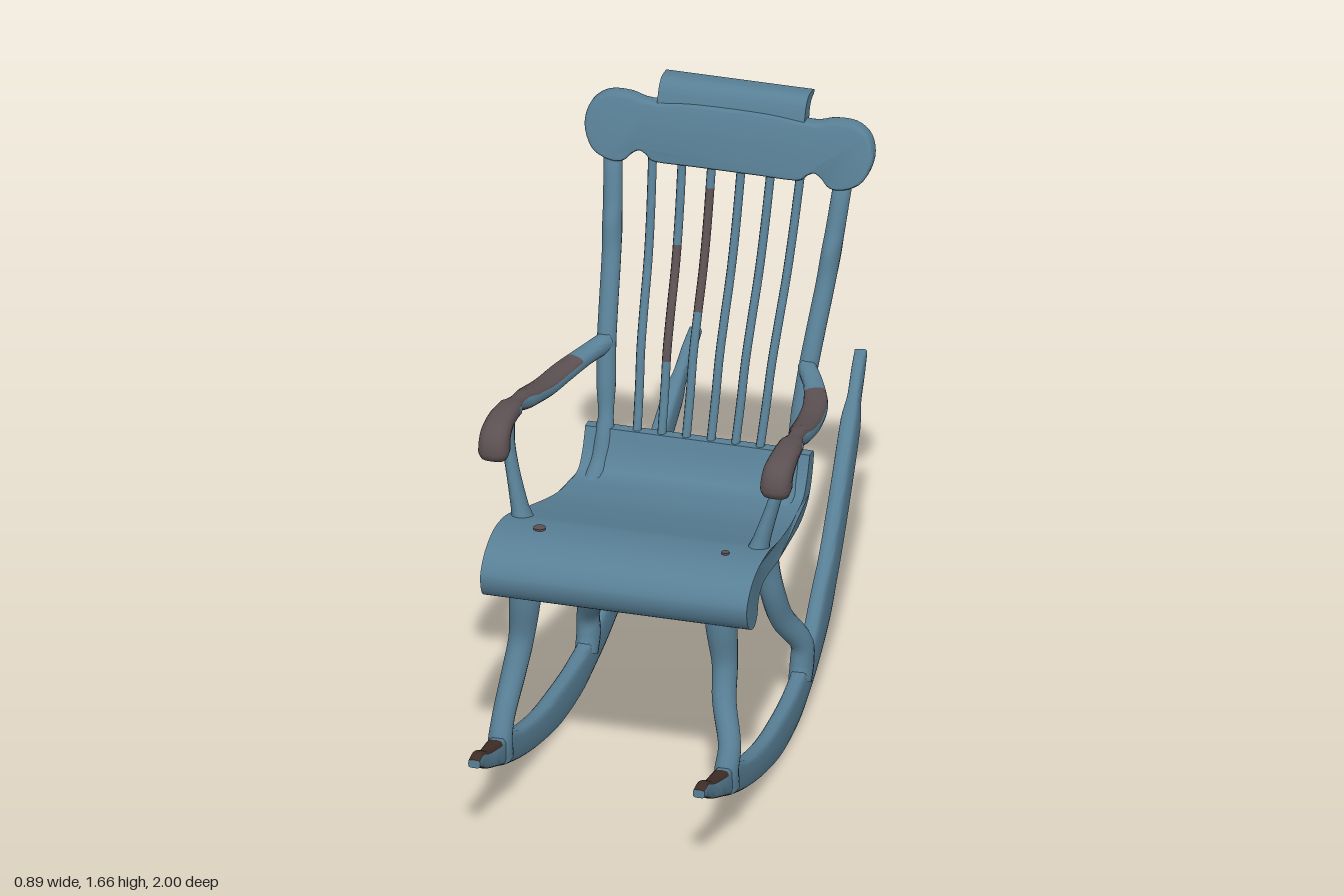
import * as THREE from 'three';
import { toCreasedNormals } from 'three/addons/utils/BufferGeometryUtils.js';

const mat = (name, color) => {
  const m = new THREE.MeshStandardMaterial({ color });
  m.name = name;
  return m;
};
const V3 = (x, y, z) => new THREE.Vector3(x, y, z);

// Bar swept through stations [x, y, z, halfWidth, halfDepth].
// square < 1 flattens the section; worn(point, sin) picks the second material.
function sweep(stations, { steps = 32, sides = 14, square = 1, worn = () => false } = {}) {
  const path = new THREE.CatmullRomCurve3(stations.map(s => V3(s[0], s[1], s[2])));
  const sizes = new THREE.CatmullRomCurve3(stations.map(s => V3(s[3], s[4], 0)));
  const pos = [], paint = [], bare = [];
  const curve = v => Math.sign(v) * Math.abs(v) ** square;
  for (let i = 0; i <= steps; i++) {
    const t = i / steps, c = path.getPoint(t), size = sizes.getPoint(t), T = path.getTangent(t);
    const side = V3(1, 0, 0).addScaledVector(T, -T.x).normalize();
    const nrm = T.clone().cross(side);
    for (let j = 0; j < sides; j++) {
      const a = (j / sides) * Math.PI * 2;
      const p = c.clone().addScaledVector(side, size.x * curve(Math.cos(a)))
        .addScaledVector(nrm, size.y * curve(Math.sin(a)));
      pos.push(p.x, p.y, p.z);
      if (i === steps) continue;
      const k = (j + 1) % sides, o = i * sides, n = o + sides;
      const mid = Math.sin(((j + 0.5) / sides) * Math.PI * 2);
      (worn(c, mid) ? bare : paint).push(o + j, o + k, n + k, o + j, n + k, n + j);
    }
  }
  // end caps
  const e = steps * sides;
  const caps = [];
  for (let j = 1; j < sides - 1; j++) caps.push(0, j + 1, j, e, e + j, e + j + 1);
  (bare.length > paint.length ? bare : paint).push(...caps);
  const g = new THREE.BufferGeometry();
  g.setAttribute('position', new THREE.Float32BufferAttribute(pos, 3));
  g.setIndex([...paint, ...bare]);
  g.addGroup(0, paint.length, 0);
  g.addGroup(paint.length, bare.length, 1);
  return toCreasedNormals(g, 0.9);
}

// Side profile in (z, y) extruded across x; halfWidth may depend on z.
function across(points, halfWidth, samples = 0) {
  const pts = points.map(p => new THREE.Vector2(...p));
  let outline = pts;
  if (samples) {
    const c = new THREE.SplineCurve([...pts, pts[0]]);
    outline = c.getPoints(samples).slice(0, -1);
  }
  const g = new THREE.ExtrudeGeometry(new THREE.Shape(outline), { depth: 2, bevelEnabled: false });
  g.translate(0, 0, -1).rotateY(-Math.PI / 2);
  const p = g.attributes.position;
  for (let i = 0; i < p.count; i++) p.setX(i, p.getX(i) * halfWidth(p.getZ(i)));
  g.computeVertexNormals();
  return toCreasedNormals(g, 0.7);
}

export function createModel() {
  const group = new THREE.Group();
  const blue = mat('bluePaint', 0x587f95);
  const brown = mat('wornBrown', 0x5c5052);
  const dark = mat('bareDarkWood', 0x3f2d27);
  const add = (name, geometry, material) => {
    const m = new THREE.Mesh(geometry, material);
    m.name = name;
    group.add(m);
    return m;
  };

  // Seat with rolled front and upswept rear
  const seatWidth = z => 0.32 + 0.06 * THREE.MathUtils.smoothstep(z, -0.1, 0.55);
  add('seat', across([
    [-0.12, 0.75], [-0.09, 0.685], [-0.04, 0.645], [0.1, 0.65], [0.25, 0.685], [0.38, 0.722],
    [0.46, 0.744], [0.56, 0.748], [0.64, 0.722], [0.685, 0.67], [0.67, 0.61], [0.62, 0.585],
    [0.585, 0.605], [0.57, 0.65], [0.53, 0.678], [0.45, 0.675], [0.3, 0.643], [0.1, 0.605],
    [0, 0.59], [-0.08, 0.605], [-0.13, 0.65], [-0.16, 0.74],
  ], seatWidth, 88), blue);

  // Bare wood under the seat
  const under = [[0.53, 0.675], [0.45, 0.672], [0.3, 0.64], [0.1, 0.602], [0, 0.587], [-0.07, 0.6]];
  add('seatUnderside', across([
    ...under.map(([z, y]) => [z, y - 0.005]),
    ...under.map(([z, y]) => [z, y + 0.003]).reverse(),
  ], z => seatWidth(z) * 0.95), dark);

  // Peg ends on the seat
  for (const [x, r] of [[-0.26, 0.017], [0.27, 0.011]])
    add('seatPeg', new THREE.CylinderGeometry(r, r, 0.008, 12).translate(x, 0.751, 0.52), brown);

  // Shared curve of the back, [y, z]
  const back = [[0.74, -0.135], [0.86, -0.18], [0.96, -0.212], [1.06, -0.26],
    [1.18, -0.322], [1.3, -0.368], [1.42, -0.405], [1.5, -0.428]];

  for (const s of [-1, 1]) {
    const side = s < 0 ? 'right' : 'left';

    // Rocker with a bare running edge
    const rx = z => (s < 0 ? -(0.3 + 0.02 * z - 0.015 * z * z) : 0.315 + 0.065 * z - 0.045 * z * z);
    const rocker = [
      [0.995, 0.252, 0.012], [0.96, 0.25, 0.022], [0.9, 0.222, 0.026], [0.8, 0.193, 0.036],
      [0.7, 0.163, 0.045], [0.6, 0.127, 0.042], [0.4, 0.08, 0.046], [0.2, 0.06, 0.055],
      [0, 0.07, 0.054], [-0.2, 0.127, 0.054], [-0.4, 0.23, 0.054], [-0.6, 0.367, 0.05],
      [-0.8, 0.51, 0.042], [-0.87, 0.555, 0.027], [-0.94, 0.6, 0.025], [-0.995, 0.632, 0.012],
    ].map(([z, y, b]) => [rx(z), y, z, Math.abs(z) > 0.85 ? 0.017 : 0.024, b]);
    add(side + 'Rocker', sweep(rocker, {
      steps: 70, sides: 16, square: 0.5,
      worn: (p, v) => v > 0.8 || (p.z > 0.82 && v < -0.5),
    }), [blue, dark]);

    // Curved front and rear legs
    const foot = rx(0.72), rear = rx(-0.07);
    add(side + 'FrontLeg', sweep([
      [s * 0.275, 0.67, 0.57, 0.05, 0.065], [s * 0.28, 0.57, 0.59, 0.045, 0.045],
      [s * 0.29, 0.45, 0.592, 0.036, 0.036], [s * 0.3, 0.36, 0.632, 0.034, 0.036],
      [foot, 0.26, 0.71, 0.032, 0.033], [foot, 0.2, 0.74, 0.034, 0.036], [foot, 0.15, 0.73, 0.034, 0.045],
    ]), [blue, brown]);
    add(side + 'RearLeg', sweep([
      [s * 0.23, 0.63, 0.035, 0.04, 0.06], [s * 0.235, 0.56, 0.033, 0.038, 0.048],
      [s * 0.245, 0.46, 0.026, 0.033, 0.032], [s * 0.255, 0.38, 0.012, 0.034, 0.036],
      [s * 0.27, 0.29, -0.025, 0.033, 0.037], [rear, 0.2, -0.075, 0.032, 0.034],
      [rear, 0.14, -0.08, 0.033, 0.042], [rear, 0.09, -0.06, 0.032, 0.04],
    ]), [blue, brown]);

    // Back post, running into the seat side
    add(side + 'BackPost', sweep([
      [s * 0.275, 0.615, 0.0, 0.03, 0.022], [s * 0.272, 0.645, -0.09, 0.03, 0.034],
      ...back.map(([y, z]) => [s * (0.268 + (y - 0.74) * 0.085), y, z, 0.027,
        y > 1.35 ? 0.022 : 0.028]),
    ], { steps: 40 }), [blue, brown]);

    // Armrest with a drooping scroll, paint worn off where hands rest
    add(side + 'Armrest', sweep([
      [s * 0.285, 0.97, -0.21, 0.025, 0.028], [s * 0.325, 0.955, -0.14, 0.028, 0.023],
      [s * 0.36, 0.947, -0.04, 0.035, 0.022], [s * 0.378, 0.955, 0.08, 0.036, 0.022],
      [s * 0.39, 0.98, 0.2, 0.034, 0.024], [s * 0.4, 1.005, 0.32, 0.034, 0.024],
      [s * 0.404, 1.005, 0.41, 0.038, 0.027], [s * 0.403, 0.982, 0.465, 0.042, 0.036],
      [s * 0.402, 0.95, 0.476, 0.043, 0.038], [s * 0.402, 0.928, 0.475, 0.036, 0.028],
    ], {
      steps: 50, sides: 16, square: 0.75,
      worn: (p, v) => p.z > 0.33 || (p.z > -0.1 && Math.abs(v) > 0.45),
    }), [blue, brown]);

    // Arm support
    add(side + 'ArmSupport', sweep([
      [s * 0.332, 0.71, 0.43, 0.034, 0.045], [s * 0.345, 0.76, 0.423, 0.024, 0.032],
      [s * 0.372, 0.86, 0.402, 0.018, 0.026], [s * 0.388, 0.93, 0.388, 0.018, 0.024],
      [s * 0.395, 1.0, 0.38, 0.022, 0.026],
    ]), [blue, brown]);
  }

  // Six fanned spindles, two of them rubbed bare in places
  const rubbed = { 1: [0.93, 1.2], 2: [1.05, 1.38] };
  for (let i = 0; i < 6; i++) {
    const low = -0.177 + i * 0.07, high = -0.216 + i * 0.0845;
    const [a, b] = rubbed[i] || [9, 9];
    add('spindle' + (i + 1), sweep(
      back.map(([y, z]) => [low + (high - low) * (y - 0.74) / 0.72, y, z, 0.0125, 0.0125]),
      { sides: 8, worn: p => p.y > a && p.y < b },
    ), [blue, brown]);
  }

  // Headrest board with rounded ears and scalloped lower edge
  const half = [[0.1, 1.45], [0.2, 1.45], [0.225, 1.465], [0.25, 1.475], [0.275, 1.462],
    [0.3, 1.44], [0.34, 1.442], [0.38, 1.465], [0.402, 1.52], [0.39, 1.572], [0.35, 1.6],
    [0.29, 1.602], [0.23, 1.59], [0.1, 1.6]];
  const loop = [...half, ...half.map(([x, y]) => [-x, y]).reverse()].map(p => new THREE.Vector2(...p));
  const outline = new THREE.SplineCurve([...loop, loop[0]]).getPoints(112).slice(0, -1);
  const board = new THREE.ExtrudeGeometry(new THREE.Shape(outline), {
    depth: 0.02, bevelThickness: 0.012, bevelSize: 0.009, bevelSegments: 3,
  });
  board.translate(0, 0, -0.01);
  const bp = board.attributes.position;
  for (let i = 0; i < bp.count; i++) bp.setZ(i, bp.getZ(i) - 0.41 - (bp.getY(i) - 1.45) * 0.3);
  board.computeVertexNormals();
  add('headrestBoard', toCreasedNormals(board, 0.7), blue);

  // Crest curling backwards above the board
  add('headrestCrest', across([
    [-0.428, 1.56], [-0.442, 1.61], [-0.458, 1.643], [-0.485, 1.66], [-0.53, 1.657],
    [-0.532, 1.645], [-0.505, 1.635], [-0.488, 1.61], [-0.475, 1.56],
  ], () => 0.21, 45), blue);

  return group;
}
